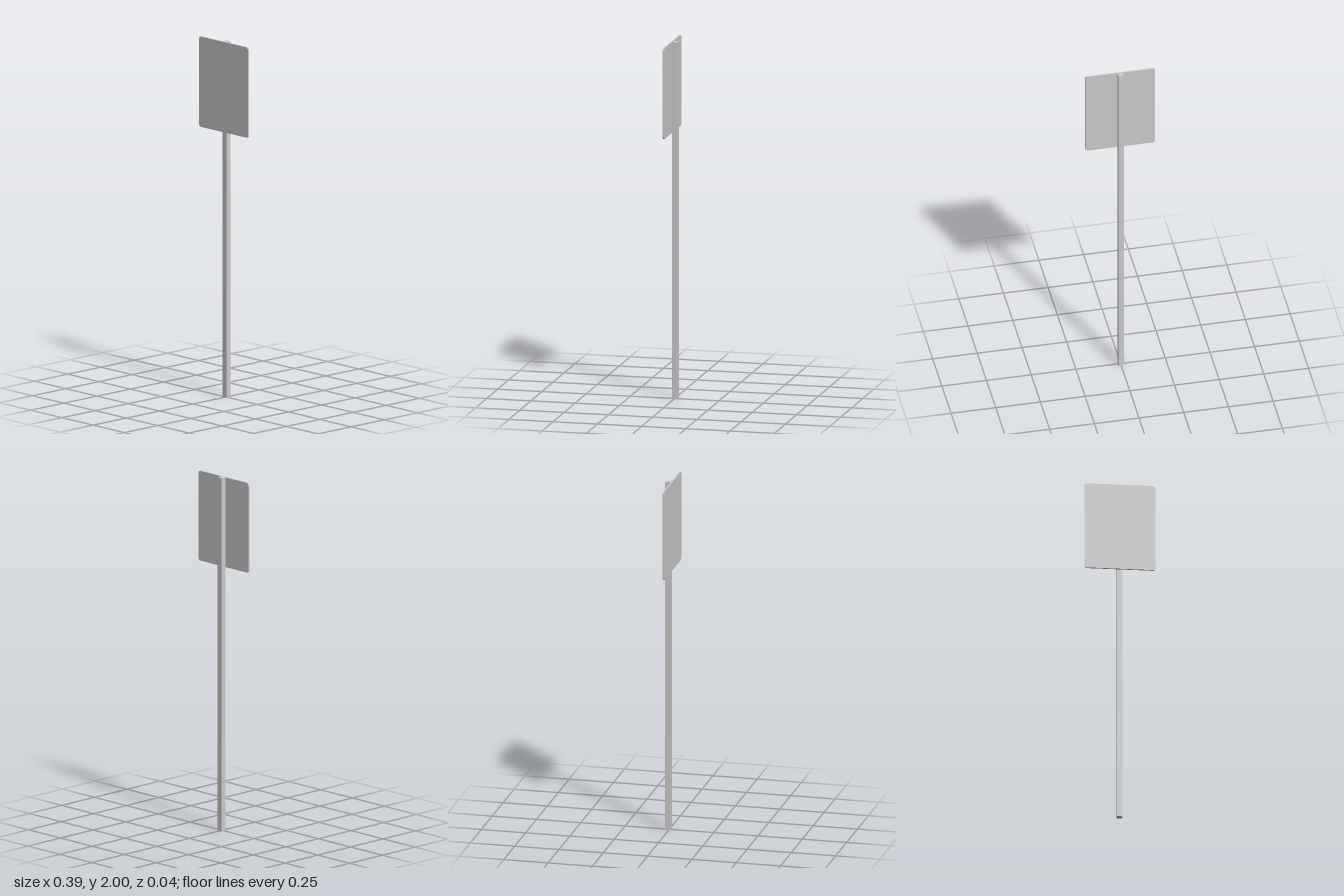
import * as THREE from 'three';

const material = new THREE.MeshStandardMaterial({ color: 0xcccccc, flatShading: true });

// Rectangle outline with rounded corners, centred on the origin
function roundedRect(w, h, r) {
  const x = w / 2, y = h / 2, s = new THREE.Shape();
  s.absarc(x - r, y - r, r, 0, Math.PI / 2);
  s.absarc(-x + r, y - r, r, Math.PI / 2, Math.PI);
  s.absarc(-x + r, -y + r, r, Math.PI, Math.PI * 1.5);
  s.absarc(x - r, -y + r, r, Math.PI * 1.5, Math.PI * 2);
  s.closePath();
  return s;
}

export function createModel() {
  const group = new THREE.Group();
  group.name = 'signpost';

  const height = 2;
  const postWidth = 0.031, postDepth = 0.03, back = -0.0195;
  const panelWidth = 0.39, panelHeight = 0.508, panelDepth = 0.009;

  // Square post, full height
  const post = new THREE.Mesh(new THREE.BoxGeometry(postWidth, height, postDepth), material);
  post.name = 'post';
  post.position.set(0, height / 2, back + postDepth / 2);
  group.add(post);

  // Thin panel with rounded corners on the front of the post
  const panel = new THREE.Mesh(
    new THREE.ExtrudeGeometry(roundedRect(panelWidth, panelHeight, 0.014), {
      depth: panelDepth, bevelEnabled: false, curveSegments: 6,
    }),
    material,
  );
  panel.name = 'signPanel';
  panel.position.set(0, height - panelHeight / 2, back + postDepth);
  group.add(panel);

  return group;
}
